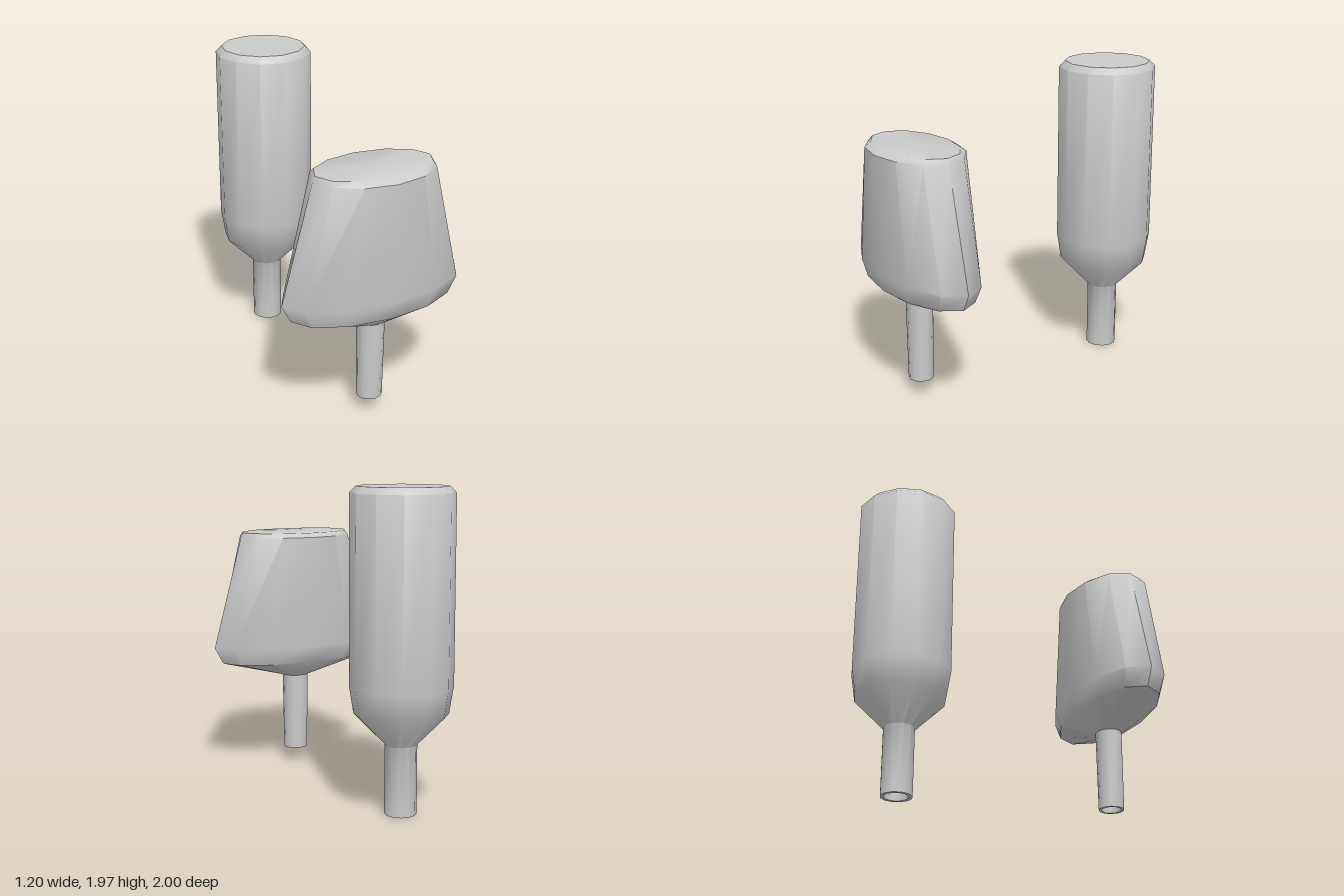
import * as THREE from 'three';
import { toCreasedNormals } from 'three/addons/utils/BufferGeometryUtils.js';

const SIDES = 12;

// Skins a stack of elliptical rings [y, radiusX, radiusZ]; a zero radius closes the end.
function loft(rings) {
  const pos = [];
  const point = ([y, rx, rz], i) => {
    const a = ((i % SIDES) / SIDES) * Math.PI * 2;
    return [Math.cos(a) * rx, y, Math.sin(a) * rz];
  };
  for (let r = 0; r < rings.length - 1; r++) {
    const low = rings[r], high = rings[r + 1];
    for (let i = 0; i < SIDES; i++) {
      const a = point(low, i), b = point(low, i + 1);
      const c = point(high, i), d = point(high, i + 1);
      if (low[1] > 0) pos.push(...a, ...c, ...b);
      if (high[1] > 0) pos.push(...b, ...c, ...d);
    }
  }
  const geometry = new THREE.BufferGeometry();
  geometry.setAttribute('position', new THREE.Float32BufferAttribute(pos, 3));
  return toCreasedNormals(geometry, 0.79);
}

export function createModel() {
  const model = new THREE.Group();
  const material = new THREE.MeshStandardMaterial({ color: 0xcccccc });

  const add = (name, z, rings) => {
    const mesh = new THREE.Mesh(loft(rings), material);
    mesh.name = name;
    mesh.position.z = z;
    model.add(mesh);
  };

  // Tall round vessel: recessed tube mouth, neck, shoulder, body, bevelled end
  add('roundVessel', -0.688, [
    [0.1, 0, 0], [0.1, 0.075, 0.075], [0, 0.075, 0.075],
    [0, 0.098, 0.098], [0.43, 0.098, 0.098],
    [0.62, 0.285, 0.285], [0.79, 0.312, 0.312],
    [1.925, 0.312, 0.312], [1.965, 0.273, 0.273], [1.965, 0, 0],
  ]);

  // Wide flattened vessel: same construction, tapering towards the top
  add('flatVessel', 0.728, [
    [0.195, 0, 0], [0.195, 0.063, 0.063], [0.095, 0.063, 0.063],
    [0.095, 0.08, 0.08], [0.612, 0.088, 0.083],
    [0.73, 0.54, 0.245], [0.84, 0.6, 0.271],
    [1.58, 0.397, 0.271], [1.607, 0.383, 0.228], [1.607, 0, 0],
  ]);

  return model;
}
